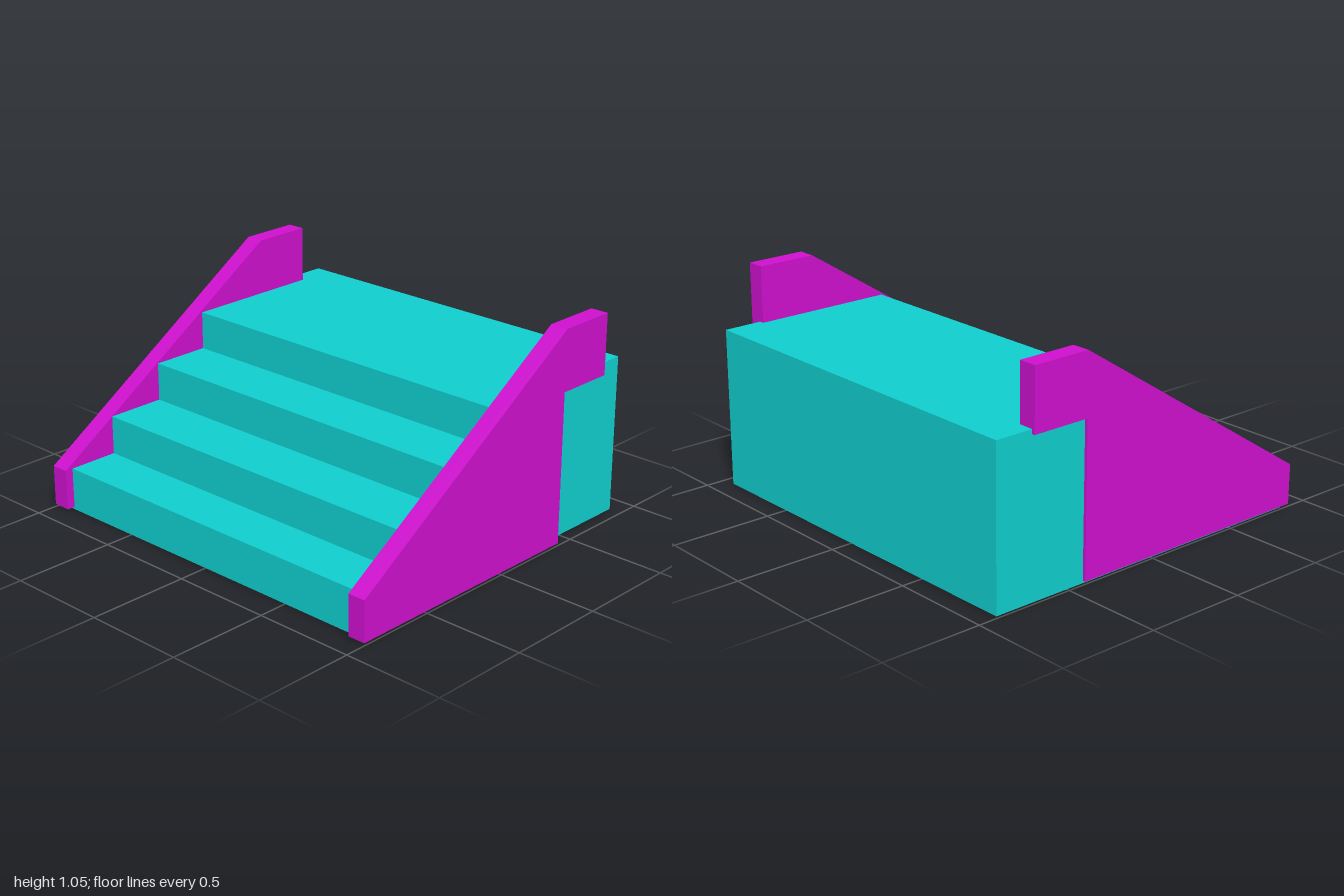
import * as THREE from 'three';

// Extrudes a (z, y) side profile along x, from xMin to xMax.
function sideExtrude(name, profile, xMin, xMax, material) {
  const shape = new THREE.Shape(profile.map(([z, y]) => new THREE.Vector2(z, y)));
  const geometry = new THREE.ExtrudeGeometry(shape, { depth: xMax - xMin, bevelEnabled: false });
  geometry.rotateY(-Math.PI / 2);
  geometry.translate(xMax, 0, 0);
  const mesh = new THREE.Mesh(geometry, material);
  mesh.name = name;
  return mesh;
}

export function createModel() {
  const model = new THREE.Group();
  model.name = 'staircase';
  const stepMaterial = new THREE.MeshStandardMaterial({ color: 0x10cccc, flatShading: true });
  const wallMaterial = new THREE.MeshStandardMaterial({ color: 0xcc10cc, flatShading: true });

  const xMin = -0.985, xMax = 0.935, back = -0.895, baseTop = 0.21;

  // Bottom step, running under the whole flight
  model.add(sideExtrude('bottomStep',
    [[0.855, 0], [0.855, baseTop], [back, baseTop], [back, 0]], xMin, xMax, stepMaterial));

  // Upper steps and landing as one stepped block
  const flight = [[back, baseTop]];
  let y = baseTop;
  for (const [front, top] of [[0.6, 0.4], [0.3, 0.588], [0.003, 0.774]]) {
    flight.push([front, y], [front, top]);
    y = top;
  }
  flight.push([back, y]);
  model.add(sideExtrude('upperSteps', flight, xMin, xMax, stepMaterial));

  // Sloping side walls, with a short overhang above the landing
  const wall = [
    [0.895, 0.012], [0.895, 0.21], [-0.407, 1.05], [-0.702, 1.05],
    [-0.702, 0.752], [-0.407, 0.752], [-0.407, 0.012],
  ];
  model.add(sideExtrude('leftSideWall', wall, 0.91, 1, wallMaterial));
  model.add(sideExtrude('rightSideWall', wall, -1, -0.91, wallMaterial));

  return model;
}
